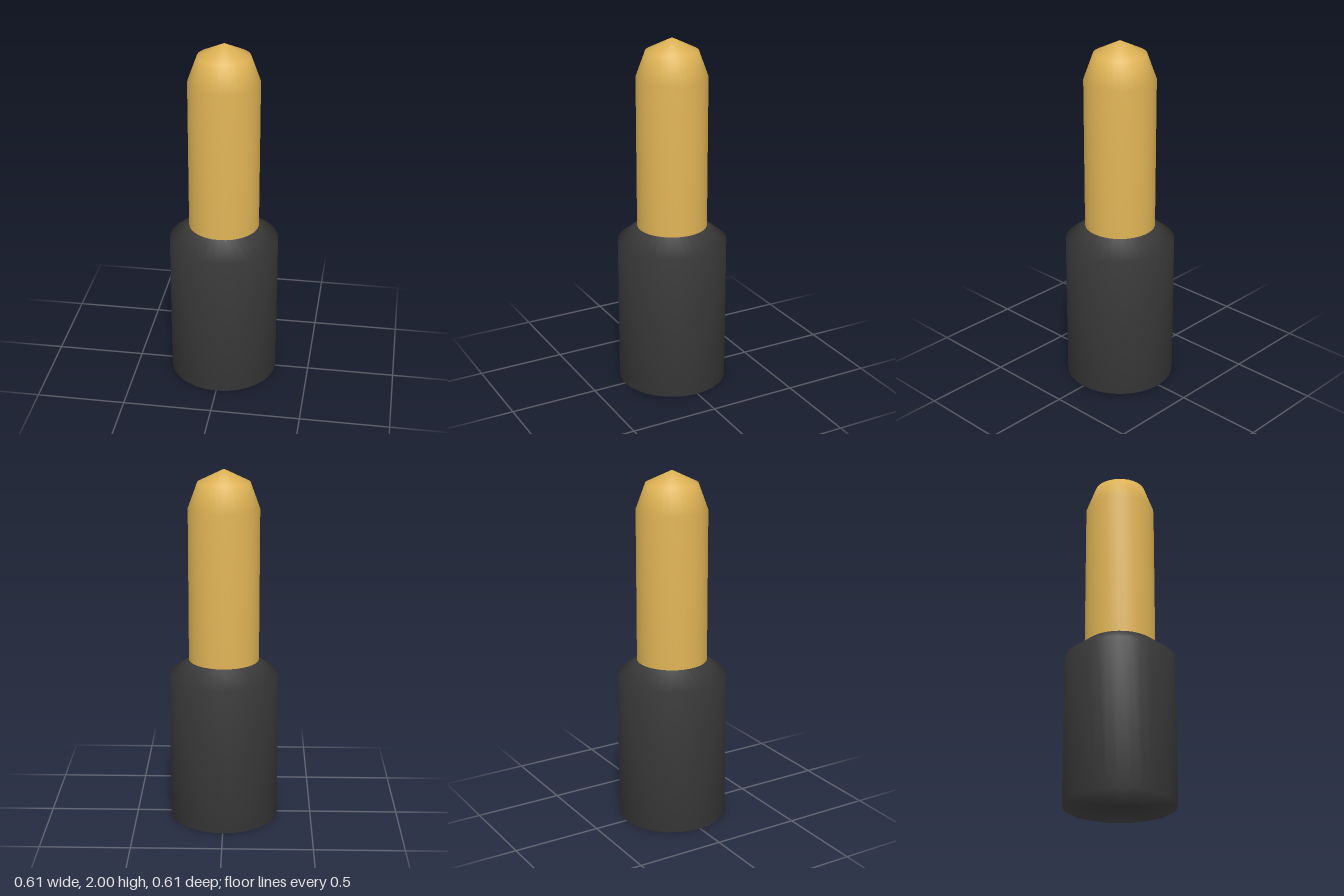
import * as THREE from 'three';
import { mergeVertices } from 'three/addons/utils/BufferGeometryUtils.js';

const SIDES = 32;

// Turned part with normals smoothed over every edge, seam and pole included
function turned(name, profile, color) {
  const lathe = new THREE.LatheGeometry(profile.map(([r, y]) => new THREE.Vector2(r, y)), SIDES);
  lathe.deleteAttribute('normal');
  lathe.deleteAttribute('uv');
  const geometry = mergeVertices(lathe, 1e-5);
  geometry.computeVertexNormals();
  const material = new THREE.MeshStandardMaterial({ color });
  const mesh = new THREE.Mesh(geometry, material);
  mesh.name = name;
  return mesh;
}

export function createModel() {
  const model = new THREE.Group();
  model.name = 'pin';

  // Dark sleeve with a chamfered shoulder and closed bottom
  model.add(turned('sleeve', [[0, 0], [0.307, 0], [0.307, 0.845], [0.197, 0.93]], 0x3a3a3a));

  // Metal pin rising from the shoulder to a two-step blunt tip
  model.add(turned('metalPin', [[0.197, 0.93], [0.197, 1.785], [0.144, 1.93], [0, 2]], 0xe0b456));

  return model;
}
